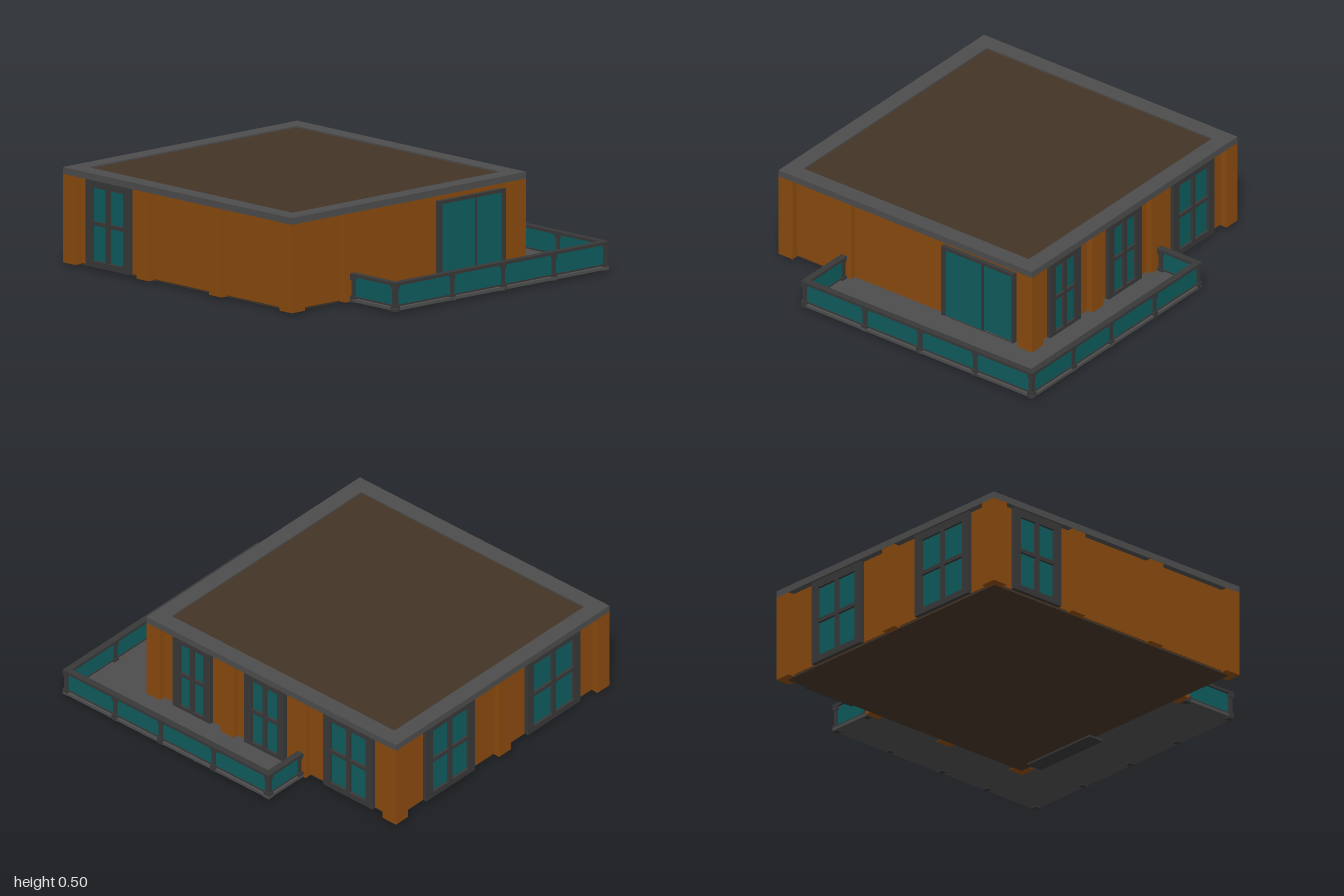
import * as THREE from 'three';

const mat = (color) => new THREE.MeshStandardMaterial({ color, flatShading: true });
const wood = mat(0x8a4a0e), brown = mat(0x433527), trim = mat(0x4d4d4d),
  dark = mat(0x383838), glass = mat(0x0f5c5e);

// House outline, roof edge and wall recess
const X0 = -0.94, X1 = 0.67, Z0 = -1, Z1 = 0.67;
const BOTTOM = 0.012, EAVE = 0.465, TOP = 0.5, RECESS = 0.035, POST = 0.09;

// Box given by its min and max corners
function box(parent, name, material, x0, x1, y0, y1, z0, z1) {
  const m = new THREE.Mesh(new THREE.BoxGeometry(x1 - x0, y1 - y0, z1 - z0), material);
  m.position.set((x0 + x1) / 2, (y0 + y1) / 2, (z0 + z1) / 2);
  m.name = name;
  parent.add(m);
  return m;
}

function rectPath(Type, x0, x1, y0, y1) {
  return new Type([[x0, y0], [x1, y0], [x1, y1], [x0, y1]].map((p) => new THREE.Vector2(...p)));
}

// Outline with rectangular holes, extruded along z
function plate(parent, name, material, outer, holes, depth) {
  const shape = rectPath(THREE.Shape, ...outer);
  for (const h of holes) shape.holes.push(rectPath(THREE.Path, ...h));
  const m = new THREE.Mesh(new THREE.ExtrudeGeometry(shape, { depth, bevelEnabled: false }), material);
  m.name = name;
  parent.add(m);
  return m;
}

// Four-pane window standing on the wall surface at z = w
function paneWindow(parent, u0, u1, w) {
  const g = new THREE.Group();
  g.name = 'window';
  const a = u0 + 0.047, b = u1 - 0.047, c = (u0 + u1) / 2, s = 0.012;
  const holes = [];
  for (const [l, r] of [[a, c - s], [c + s, b]])
    for (const [d, t] of [[0.05, 0.232], [0.252, 0.425]]) holes.push([l, r, d, t]);
  plate(g, 'windowFrame', dark, [u0, u1, 0.018, EAVE], holes, 0.022).position.z = w;
  box(g, 'windowGlass', glass, a - 0.01, b + 0.01, 0.04, 0.435, w - 0.01, w + 0.008);
  parent.add(g);
}

// Wall decoration: pilasters and windows along a local u axis
function wall(parent, name, turn, dist, pilasters, windows) {
  const g = new THREE.Group();
  g.name = name;
  g.rotation.y = turn;
  for (const u of pilasters)
    box(g, 'pilaster', wood, u - POST / 2, u + POST / 2, BOTTOM, EAVE, dist - 0.07, dist - 0.002);
  for (const [u0, u1] of windows) paneWindow(g, u0, u1, dist - RECESS);
  parent.add(g);
  return g;
}

function railing(parent, name, x0, z0, x1, z1, stops) {
  const g = new THREE.Group();
  g.name = name;
  const len = Math.hypot(x1 - x0, z1 - z0);
  g.position.set(x0, 0, z0);
  g.rotation.y = -Math.atan2(z1 - z0, x1 - x0);
  box(g, 'handrail', dark, -0.0175, len + 0.0175, 0.143, 0.158, -0.0175, 0.0175);
  box(g, 'railingGlass', glass, 0, len, 0.04, 0.145, -0.005, 0.005);
  box(g, 'bottomRail', dark, 0, len, 0.034, 0.042, -0.008, 0.008);
  // Posts with a wider foot and head
  for (const s of stops) {
    box(g, 'railingPost', dark, s - 0.012, s + 0.012, 0.02, 0.145, -0.012, 0.012);
    box(g, 'postFoot', dark, s - 0.0175, s + 0.0175, 0.01, 0.045, -0.0175, 0.0175);
    box(g, 'postHead', dark, s - 0.0165, s + 0.0165, 0.125, 0.145, -0.0165, 0.0165);
  }
  parent.add(g);
}

export function createModel() {
  const model = new THREE.Group();
  model.name = 'house';

  // Main body and floor slab
  box(model, 'walls', wood, X0 + RECESS, X1 - RECESS, 0.02, 0.48, Z0 + RECESS, Z1 - RECESS);
  box(model, 'floorSlab', brown, X0 + 0.04, X1 - 0.04, 0.01, 0.022, Z0 + 0.04, Z1 - 0.04);

  // Square corner posts
  for (const x of [X0, X1 - POST])
    for (const z of [Z0, Z1 - POST])
      box(model, 'cornerPost', wood, x, x + POST, BOTTOM, EAVE, z, z + POST);

  // Roof rim with the lower panel inside it
  const rim = plate(model, 'roofRim', trim, [X0, X1, -Z1, -Z0],
    [[X0 + 0.09, X1 - 0.09, -Z1 + 0.09, -Z0 - 0.09]], TOP - EAVE);
  rim.rotation.x = -Math.PI / 2;
  rim.position.y = EAVE;
  box(model, 'roofPanel', brown, X0 + 0.085, X1 - 0.085, EAVE, 0.492, Z0 + 0.085, Z1 - 0.085);

  // Four walls: u runs along x, -z, -x and z in turn
  const front = wall(model, 'frontWall', 0, Z1, [-0.525], []);
  wall(model, 'leftWall', Math.PI / 2, X1, [-0.132, 0.35],
    [[-0.505, -0.255], [-0.028, 0.24], [0.5, 0.83]]);
  wall(model, 'backWall', Math.PI, -Z0, [0.155], [[-0.425, -0.06], [0.34, 0.735]]);
  wall(model, 'rightWall', -Math.PI / 2, -X0, [-0.42, 0.11], [[-0.85, -0.53]]);

  // Sliding glass door and its step
  const w = Z1 - RECESS;
  plate(front, 'doorFrame', dark, [0.083, 0.543, 0.012, 0.432],
    [[0.105, 0.338, 0.03, 0.415], [0.344, 0.527, 0.03, 0.415]], 0.024).position.z = w;
  box(front, 'doorGlass', glass, 0.1, 0.34, 0.025, 0.42, w - 0.01, w + 0.014);
  box(front, 'doorGlass', glass, 0.34, 0.532, 0.025, 0.42, w - 0.01, w + 0.008);
  box(front, 'doorStep', dark, 0.083, 0.543, 0, 0.025, 0.59, 0.68);

  // Deck wrapping round the front corner
  const D0 = -0.54, D1 = 0.93, E0 = -0.38, E1 = 1;
  box(model, 'frontDeck', trim, D0, D1, 0.015, 0.03, Z1 - 0.05, E1);
  box(model, 'sideDeck', trim, X1 - 0.05, D1, 0.015, 0.03, E0, Z1 - 0.05);

  // Glass railings on the open edges
  const h = 0.0175, L = D0 + h, R = D1 - h, B = E0 + h, F = E1 - h;
  railing(model, 'frontRailing', L, F, R, F, [L, -0.14, 0.21, 0.56, R].map((x) => x - L));
  railing(model, 'sideRailing', R, F, R, B, [0.655, 0.35, -0.005, B].map((z) => F - z));
  railing(model, 'frontEndRailing', L, F, L, Z1 + h, [F - Z1 - h]);
  railing(model, 'backEndRailing', R, B, X1 + h, B, [R - X1 - h]);

  return model;
}
